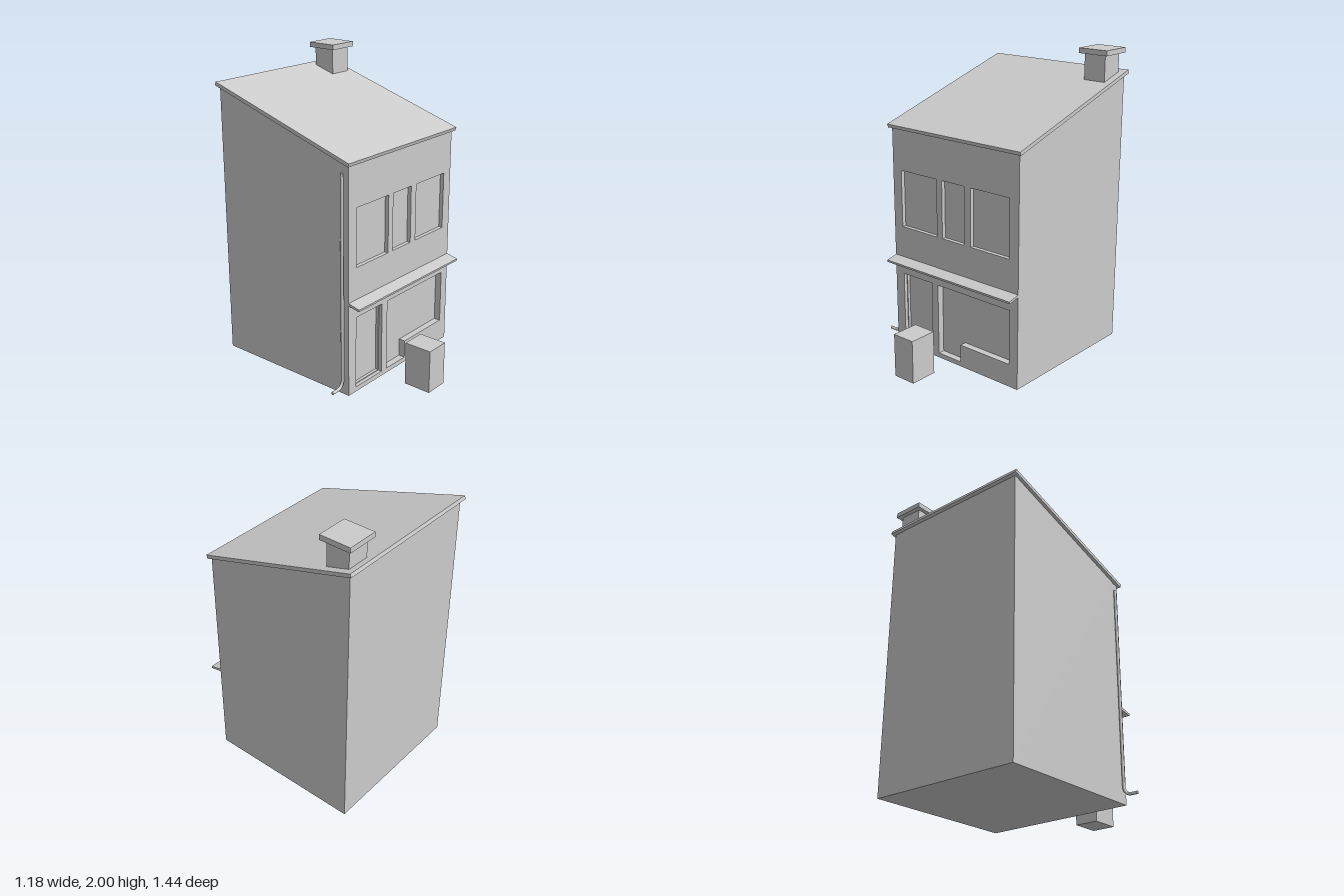
import * as THREE from 'three';

const grey = new THREE.MeshStandardMaterial({ color: 0xcccccc });

function add(parent, name, geometry) {
  const mesh = new THREE.Mesh(geometry, grey);
  mesh.name = name;
  parent.add(mesh);
  return mesh;
}

// Box given by its minimum and maximum corners
function box(parent, name, [x0, y0, z0], [x1, y1, z1]) {
  const geometry = new THREE.BoxGeometry(x1 - x0, y1 - y0, z1 - z0);
  geometry.translate((x0 + x1) / 2, (y0 + y1) / 2, (z0 + z1) / 2);
  return add(parent, name, geometry);
}

// Side profile of [z, y] points, extruded along x from x0 to x1
function sideExtrude(parent, name, profile, x0, x1) {
  const shape = new THREE.Shape(profile.map(([z, y]) => new THREE.Vector2(-z, y)));
  const geometry = new THREE.ExtrudeGeometry(shape, { depth: x1 - x0, bevelEnabled: false });
  geometry.rotateY(Math.PI / 2).translate(x0, 0, 0);
  return add(parent, name, geometry);
}

const outline = (points) => points.map(([x, y]) => new THREE.Vector2(x, y));
const rectangle = (x0, y0, x1, y1) => [[x0, y0], [x1, y0], [x1, y1], [x0, y1]];

export function createModel() {
  const house = new THREE.Group();
  house.name = 'house';
  const left = -0.485, right = 0.567, front = 0.355, recess = 0.31;

  // Main body with sloping top
  sideExtrude(house, 'body',
    [[recess, 0], [recess, 1.523], [-0.7, 1.83], [-0.7, 0]], left, right);

  // Front wall with window, door and shopfront openings
  const windows = [[-0.412, -0.1], [-0.053, 0.133], [0.187, 0.493]];
  const wall = new THREE.Shape(outline(rectangle(left, 0, right, 1.515)));
  const openings = windows.map(([x0, x1]) => rectangle(x0, 0.848, x1, 1.23));
  openings.push(rectangle(-0.412, 0.032, -0.155, 0.516));
  openings.push([[-0.1, 0.032], [0.094, 0.032], [0.094, 0.153], [0.502, 0.153], [0.502, 0.516], [-0.1, 0.516]]);
  for (const opening of openings) wall.holes.push(new THREE.Path(outline(opening)));
  const wallGeometry = new THREE.ExtrudeGeometry(wall, { depth: front - recess, bevelEnabled: false });
  add(house, 'frontWall', wallGeometry.translate(0, 0, recess));

  // Upper windows sit shallower than the door and shopfront
  for (const [x0, x1] of windows) {
    box(house, 'windowPane', [x0, 0.848, recess - 0.01], [x1, 1.23, front - 0.027]);
  }

  // Thin door frame inside its opening
  const frame = new THREE.Shape(outline(rectangle(-0.412, 0.032, -0.155, 0.516)));
  frame.holes.push(new THREE.Path(outline(rectangle(-0.406, 0.038, -0.161, 0.51))));
  const frameGeometry = new THREE.ExtrudeGeometry(frame, { depth: 0.02, bevelEnabled: false });
  add(house, 'doorFrame', frameGeometry.translate(0, 0, recess));

  // Sloping canopy above the shopfront
  sideExtrude(house, 'canopy',
    [[0.34, 0.622], [0.435, 0.604], [0.437, 0.618], [0.355, 0.637], [0.34, 0.637]], left, right);

  // Single-pitch roof slab
  sideExtrude(house, 'roof',
    [[0.37, 1.503], [0.377, 1.526], [-0.715, 1.856], [-0.722, 1.833]], -0.507, 0.588);

  // Chimney stack and cap
  box(house, 'chimneyStack', [0.386, 1.76, -0.671], [0.541, 1.97, -0.516]);
  box(house, 'chimneyCap', [0.358, 1.966, -0.699], [0.569, 2, -0.489]);

  // Drainpipe with curved outlet at the foot
  const pipe = new THREE.CurvePath();
  const at = (x, y) => new THREE.Vector3(x, y, 0.315);
  pipe.add(new THREE.LineCurve3(at(-0.498, 1.455), at(-0.498, 0.115)));
  pipe.add(new THREE.QuadraticBezierCurve3(at(-0.498, 0.115), at(-0.498, 0.052), at(-0.555, 0.052)));
  pipe.add(new THREE.LineCurve3(at(-0.555, 0.052), at(-0.595, 0.052)));
  add(house, 'drainpipe', new THREE.TubeGeometry(pipe, 120, 0.01, 12));
  const capGeometry = new THREE.CircleGeometry(0.01, 12);
  const topCap = add(house, 'drainpipeTop', capGeometry);
  topCap.position.copy(at(-0.498, 1.455));
  topCap.rotation.x = -Math.PI / 2;
  const endCap = add(house, 'drainpipeOutlet', capGeometry);
  endCap.position.copy(at(-0.595, 0.052));
  endCap.rotation.y = -Math.PI / 2;

  // Free-standing box in front of the house
  box(house, 'streetBox', [-0.135, 0, 0.532], [0.026, 0.29, 0.721]);

  return house;
}
